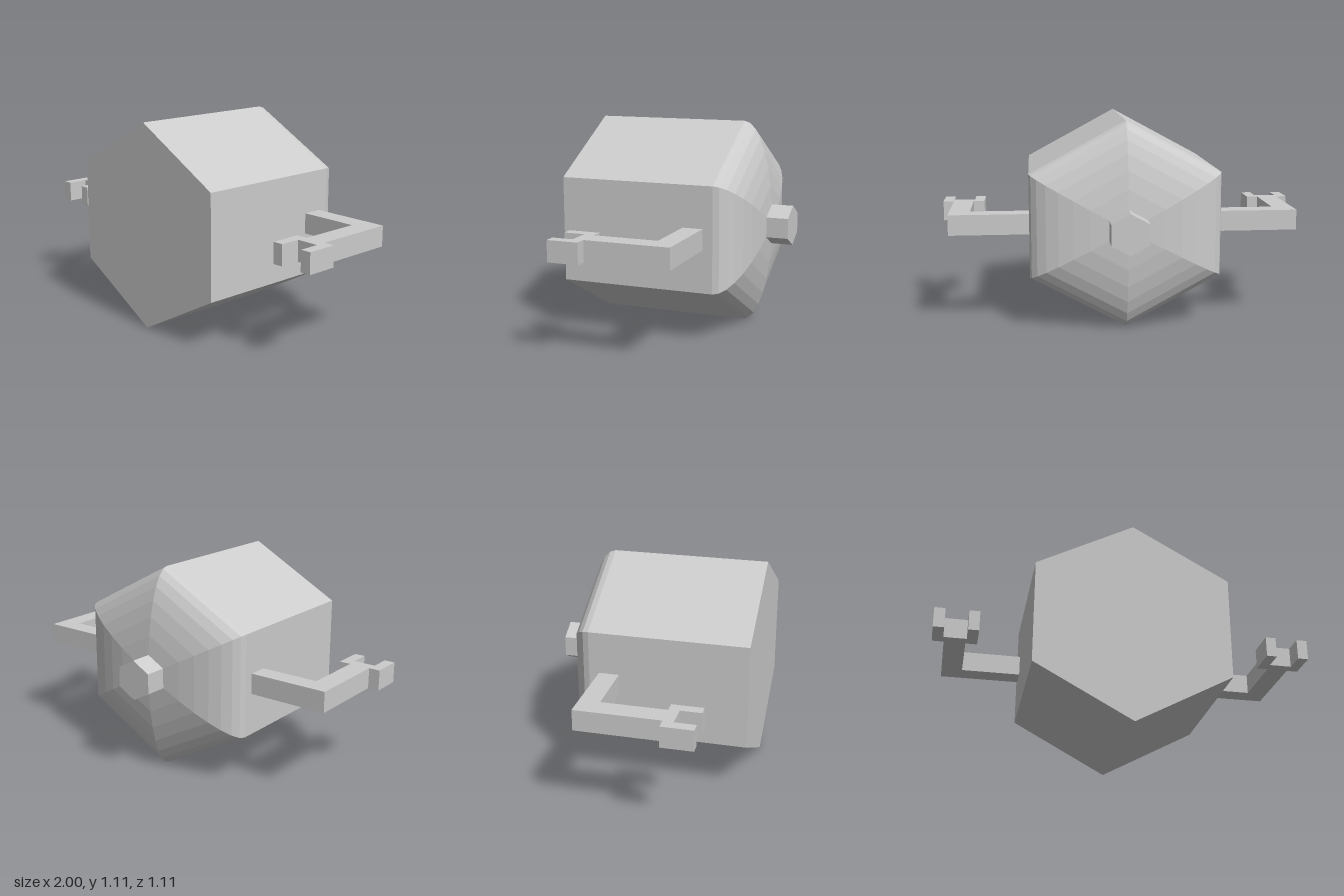
import * as THREE from 'three';

const material = new THREE.MeshStandardMaterial({ color: 0xcccccc, flatShading: true });
const CENTRE_Y = 0.555;
const STRETCH_X = 1.063; // the hexagons are slightly wider than regular

function addMesh(parent, name, geometry) {
  const mesh = new THREE.Mesh(geometry, material);
  mesh.name = name;
  parent.add(mesh);
  return mesh;
}

// Six-sided solid along z; profile is [radius, distance towards the back]
function hexSolid(profile) {
  const points = profile.map(([r, back]) => new THREE.Vector2(r, back));
  return new THREE.LatheGeometry(points, 6)
    .rotateX(-Math.PI / 2)
    .scale(STRETCH_X, 1, 1)
    .translate(0, CENTRE_Y, 0);
}

// Bent arm with a two-pronged claw, outlined in plan as [x, z]
function armGeometry(side) {
  const outline = [
    [0.5, -0.225], [0.94, -0.225], [0.94, 0.22], [1, 0.22], [1, 0.385],
    [0.943, 0.385], [0.943, 0.275], [0.823, 0.275], [0.823, 0.385],
    [0.767, 0.385], [0.767, 0.22], [0.828, 0.22], [0.828, -0.118], [0.5, -0.118],
  ];
  const shape = new THREE.Shape(outline.map(([x, z]) => new THREE.Vector2(side * x, z)));
  return new THREE.ExtrudeGeometry(shape, { depth: 0.11, bevelEnabled: false })
    .rotateX(Math.PI / 2)
    .translate(0, 0.612, 0);
}

export function createModel() {
  const model = new THREE.Group();
  model.name = 'clawedPod';

  // Hexagonal body, flat at the front and domed at the back
  const profile = [[0, -0.555], [0.555, -0.555]];
  const steps = 8;
  for (let i = 0; i <= steps; i++) {
    const t = (i / steps) * Math.PI / 2;
    profile.push([i === steps ? 0 : 0.555 * Math.cos(t), 0.278 + 0.162 * Math.sin(t)]);
  }
  addMesh(model, 'body', hexSolid(profile));

  // Small hexagonal nozzle behind the dome
  addMesh(model, 'rearNozzle', hexSolid([[0, 0.42], [0.108, 0.42], [0.108, 0.555], [0, 0.555]]));

  // Mirrored arms
  addMesh(model, 'leftArm', armGeometry(1));
  addMesh(model, 'rightArm', armGeometry(-1));

  return model;
}
